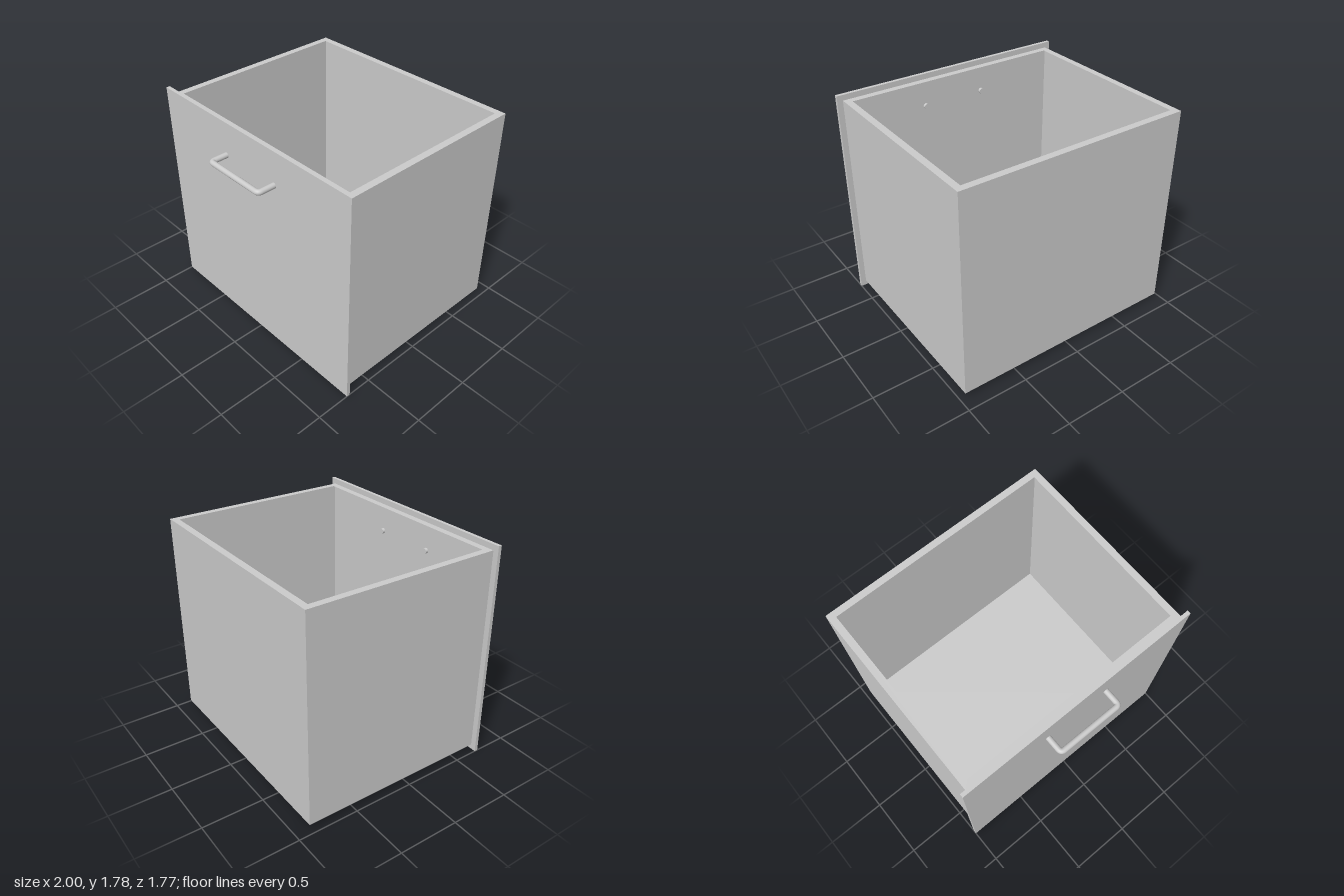
import * as THREE from 'three';

const solid = new THREE.MeshStandardMaterial({ color: 0xcccccc });
const sheet = new THREE.MeshStandardMaterial({ color: 0xcccccc, side: THREE.DoubleSide });

function addMesh(group, name, geometry, material, x, y, z) {
  const mesh = new THREE.Mesh(geometry, material);
  mesh.position.set(x, y, z);
  mesh.name = name;
  group.add(mesh);
  return mesh;
}

// Closed rectangle in x and z (shape y is -z, so it lies flat after rotation)
function rectangle(Path, halfWidth, back, front) {
  return new Path([
    new THREE.Vector2(-halfWidth, -front),
    new THREE.Vector2(halfWidth, -front),
    new THREE.Vector2(halfWidth, -back),
    new THREE.Vector2(-halfWidth, -back),
  ]);
}

export function createModel() {
  const model = new THREE.Group();
  model.name = 'drawer';

  const bottom = 0.04, top = 1.74, lip = 0.054;
  const back = -0.884, front = 0.697, halfWidth = 0.955;
  const height = top - bottom, depth = front - back;
  const midY = (top + bottom) / 2, midZ = (front + back) / 2;

  // Thin sheet walls and floor; the front panel closes the fourth side
  const sideGeometry = new THREE.PlaneGeometry(depth, height);
  addMesh(model, 'leftWall', sideGeometry, sheet, halfWidth, midY, midZ).rotation.y = Math.PI / 2;
  addMesh(model, 'rightWall', sideGeometry, sheet, -halfWidth, midY, midZ).rotation.y = -Math.PI / 2;
  addMesh(model, 'backWall', new THREE.PlaneGeometry(2 * halfWidth, height), sheet, 0, midY, back)
    .rotation.y = Math.PI;
  addMesh(model, 'floor', new THREE.PlaneGeometry(2 * halfWidth, depth), sheet, 0, bottom, midZ)
    .rotation.x = Math.PI / 2;

  // Flat lip turned inwards around the opening
  const outline = rectangle(THREE.Shape, halfWidth, back, front);
  outline.holes.push(rectangle(THREE.Path, halfWidth - lip, back + lip, front - lip));
  addMesh(model, 'topLip', new THREE.ShapeGeometry(outline), sheet, 0, top, 0).rotation.x = -Math.PI / 2;

  // Overhanging front panel
  const panelFront = 0.726;
  addMesh(model, 'frontPanel', new THREE.BoxGeometry(2, 1.785, panelFront - front), solid,
    0, 1.785 / 2, (front + panelFront) / 2);

  // Bar handle with rounded corners, its legs passing through the front panel
  const handle = new THREE.Group();
  handle.name = 'handle';
  handle.position.set(-0.008, 1.511, 0);
  const radius = 0.022, hx = 0.266, barZ = 0.884 - radius, legEnd = front - 0.022, bend = 0.03;
  const point = (x, z) => new THREE.Vector3(x, 0, z);
  const path = new THREE.CurvePath();
  path.add(new THREE.LineCurve3(point(-hx, legEnd), point(-hx, barZ - bend)));
  path.add(new THREE.QuadraticBezierCurve3(point(-hx, barZ - bend), point(-hx, barZ), point(-hx + bend, barZ)));
  path.add(new THREE.LineCurve3(point(-hx + bend, barZ), point(hx - bend, barZ)));
  path.add(new THREE.QuadraticBezierCurve3(point(hx - bend, barZ), point(hx, barZ), point(hx, barZ - bend)));
  path.add(new THREE.LineCurve3(point(hx, barZ - bend), point(hx, legEnd)));
  addMesh(handle, 'handleBar', new THREE.TubeGeometry(path, 140, radius, 20), solid, 0, 0, 0);

  // Leg ends showing on the inside of the front panel
  for (const side of [-1, 1]) {
    addMesh(handle, side > 0 ? 'leftLegEnd' : 'rightLegEnd', new THREE.CircleGeometry(radius, 20), solid,
      side * hx, 0, legEnd).rotation.y = Math.PI;
  }
  model.add(handle);

  return model;
}
